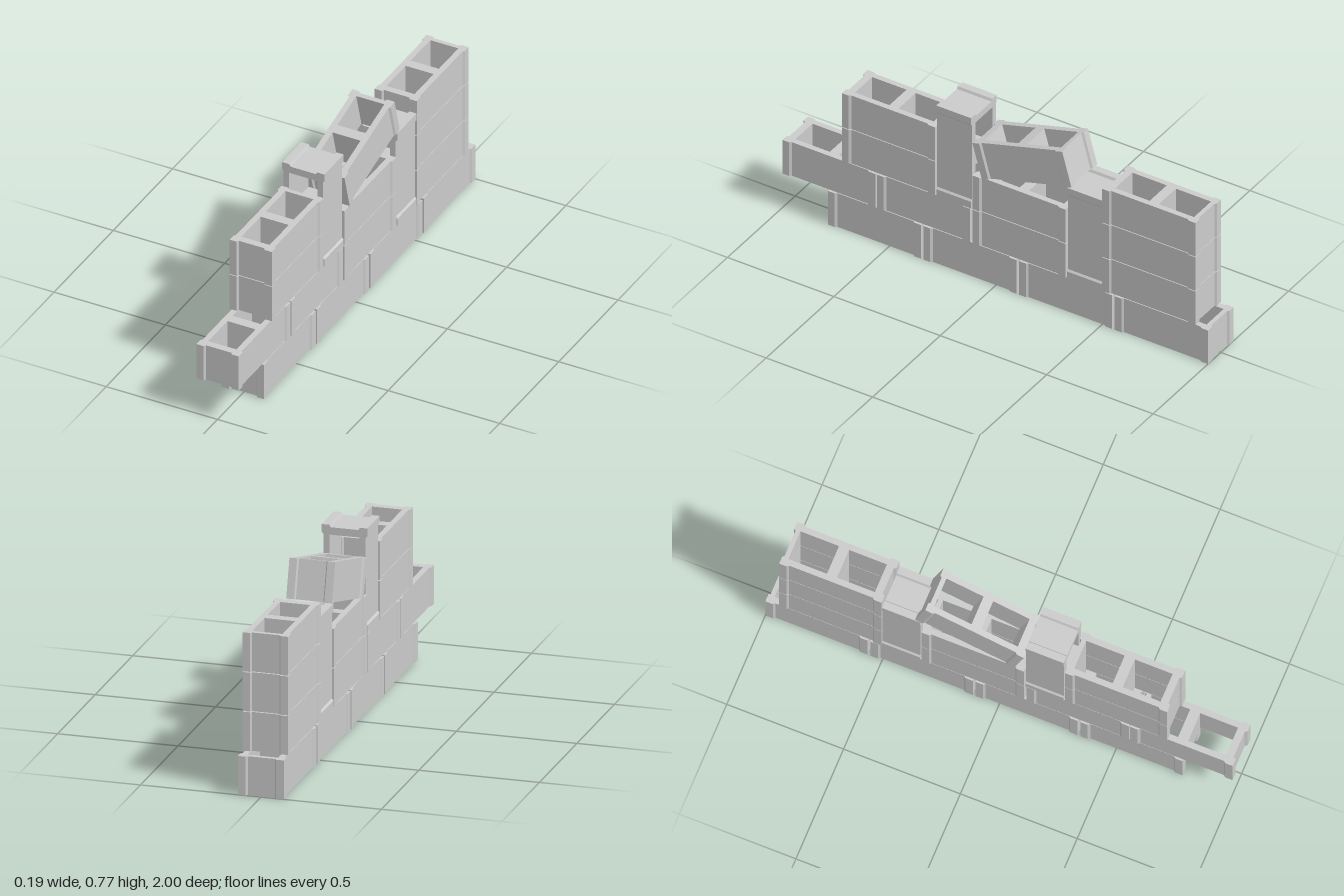
import * as THREE from 'three';

const L = 0.438, H = 0.163, W = 0.095; // block length, height, half width
const ROW = 0.1663; // height of one course

// Hollow block, lying with its two cores vertical, centred on the origin
function blockGeometry() {
  const h = L / 2;
  // One side of the plan (x, z) from the front recess to the back recess
  const side = [
    [0.057, h - 0.010], [0.063, h], [W, h], [W, h - 0.032], [0.088, h - 0.040],
    [0.088, -h + 0.040], [W, -h + 0.032], [W, -h], [0.063, -h], [0.057, -h + 0.008],
  ];
  const outline = [...side, ...side.map(([x, z]) => [-x, z]).reverse()];
  const shape = new THREE.Shape(outline.map(([x, z]) => new THREE.Vector2(x, -z)));

  // Two square cores separated by a web
  for (const [z0, z1] of [[-h + 0.027, -0.027], [0.016, h - 0.041]]) {
    const core = [[-0.063, z0], [-0.063, z1], [0.063, z1], [0.063, z0]];
    shape.holes.push(new THREE.Path(core.map(([x, z]) => new THREE.Vector2(x, -z))));
  }
  const geometry = new THREE.ExtrudeGeometry(shape, { depth: H, bevelEnabled: false });
  geometry.translate(0, 0, -H / 2);
  geometry.rotateX(-Math.PI / 2);
  return geometry;
}

export function createModel() {
  const wall = new THREE.Group();
  wall.name = 'blockWall';
  const geometry = blockGeometry();
  const material = new THREE.MeshStandardMaterial({ color: 0xcccccc, flatShading: true });

  function addBlock(name, y, z, tilt = 0) {
    const block = new THREE.Mesh(geometry, material);
    block.name = name;
    block.position.set(0, y, z);
    block.rotation.x = tilt;
    wall.add(block);
  }

  // Flat blocks: centre z of each, course by course from the bottom
  const courses = [
    [0.567, 0.118, -0.331, -0.781],
    [0.781, 0.337, -0.112, -0.722],
    [0.501, -0.112, -0.722],
    [0.501, -0.722],
  ];
  courses.forEach((row, i) => row.forEach((z, j) =>
    addBlock(`course${i + 1}Block${j + 1}`, H / 2 + i * ROW, z)));

  // Blocks standing on end
  addBlock('uprightBlockFront', 2 * ROW + L / 2, 0.195, -Math.PI / 2);
  addBlock('uprightBlockBack', ROW + L / 2, -0.420, -Math.PI / 2);

  // Loose block leaning on the back upright
  addBlock('leaningBlock', 0.633, -0.126, 0.27);

  return wall;
}
